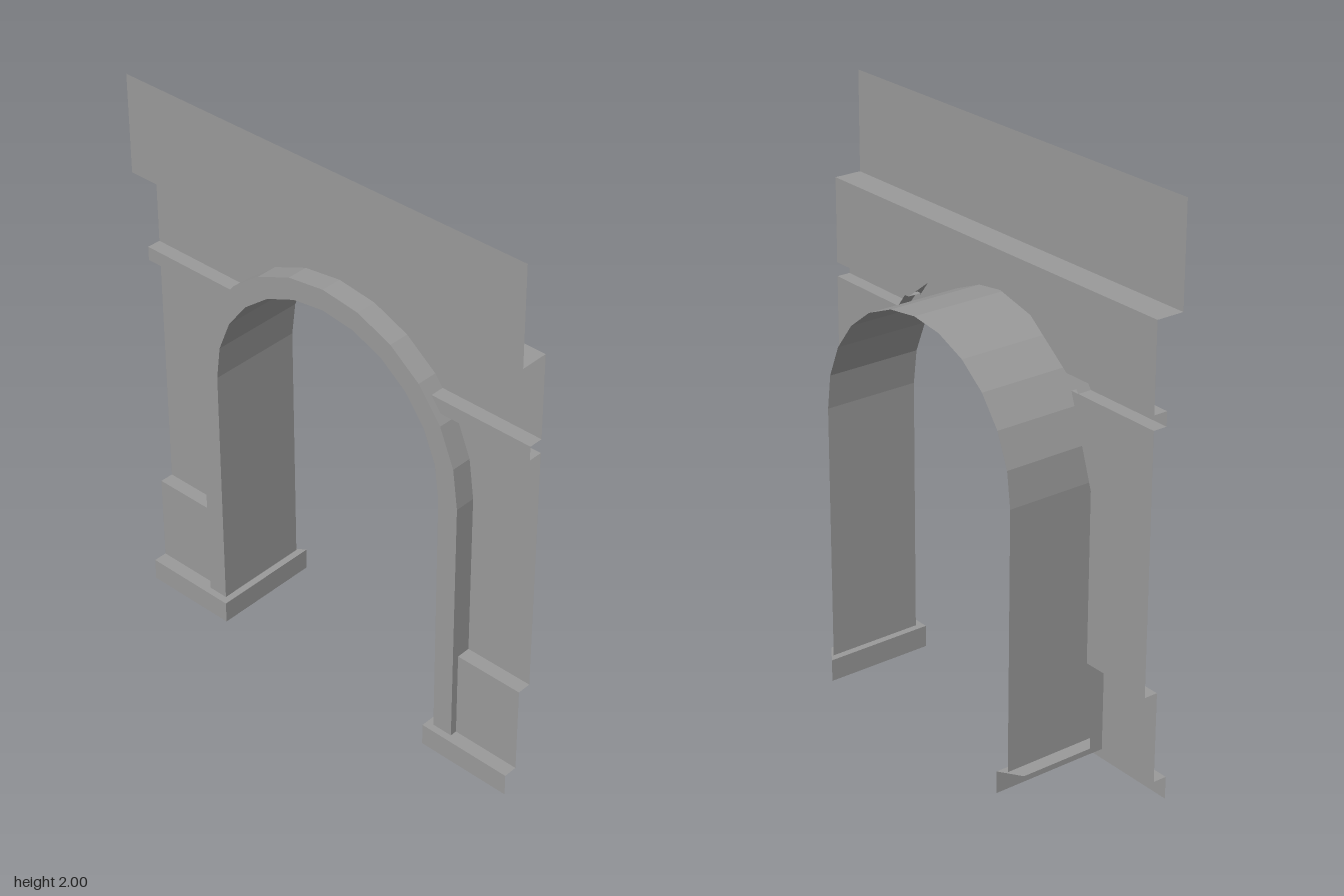
import * as THREE from 'three';

const material = new THREE.MeshStandardMaterial({ color: 0x999999, flatShading: true, side: THREE.DoubleSide });

// Open sheet stretched between two matching rows of [x, y, z] points
function loft(name, rowA, rowB) {
  const p = [];
  for (let i = 0; i < rowA.length - 1; i++) {
    p.push(...rowA[i], ...rowB[i], ...rowA[i + 1]);
    p.push(...rowB[i], ...rowB[i + 1], ...rowA[i + 1]);
  }
  const g = new THREE.BufferGeometry();
  g.setAttribute('position', new THREE.Float32BufferAttribute(p, 3));
  g.computeVertexNormals();
  const mesh = new THREE.Mesh(g, material);
  mesh.name = name;
  return mesh;
}

// Jamb, half circle of 12 segments, jamb
function archPath(r, x) {
  const pts = [[x, 0.08, r]];
  for (let i = 0; i <= 12; i++) {
    const a = (Math.PI * i) / 12;
    pts.push([x, 1 + r * Math.sin(a), r * Math.cos(a)]);
  }
  pts.push([x, 0.08, -r]);
  return pts;
}

export function createModel() {
  const model = new THREE.Group();
  model.name = 'archwayWall';
  const END = 0.8;

  // Projecting top panel with its soffit
  const top = [[-0.2, 2], [-0.2, 1.65], [-0.1, 1.65]];
  model.add(loft('topPanel',
    top.map(([x, y]) => [x, y, END]),
    top.map(([x, y]) => [x, y, -END])));

  // Wall above the arch, its lower edge following the faceted opening
  const edge = [[END, 1.35], [0.4, 1.35], [0.225, 1.483], [0, 1.538], [-0.225, 1.483], [-0.4, 1.35], [-END, 1.35]];
  model.add(loft('upperWall',
    edge.map(([z, y]) => [-0.1, y, z]),
    edge.map(([z]) => [-0.1, 1.65, z])));

  // Arch lining and raised surround
  const inner = 0.475, outer = 0.55, front = -0.175;
  model.add(loft('archLining', archPath(inner, 0.175), archPath(inner, front)));
  model.add(loft('surroundFace', archPath(inner, front), archPath(outer, front)));
  model.add(loft('surroundEdge', archPath(outer, front), archPath(outer, -0.1)));

  // Mirrored pier parts; profiles are [x, y, z of the edge at the opening]
  const profiles = {
    Cornice: [[-0.1, 1.35, 0.4], [-0.15, 1.35, 0.4], [-0.15, 1.3, 0.425], [-0.1, 1.3, 0.425]],
    PierWall: [[-0.1, 1.3, 0.425], [-0.1, 1, 0.525], [-0.1, 0.4, 0.525]],
    Plinth: [[-0.1, 0.4, 0.525], [-0.15, 0.4, 0.525], [-0.15, 0.08, 0.525]],
  };
  // Base skirting wraps the pier corner; paths are [x, z]
  const skirt = [[-0.2, END], [-0.2, 0.45], [0.2, 0.45]];
  const skirtBack = [[-0.15, END], [-0.15, 0.525], [0.15, 0.525]];

  for (const s of [1, -1]) {
    const side = s > 0 ? 'front' : 'back';
    const add = (name, a, b) => model.add(s > 0 ? loft(side + name, a, b) : loft(side + name, b, a));
    for (const [name, pts] of Object.entries(profiles)) {
      add(name, pts.map(([x, y]) => [x, y, s * END]), pts.map(([x, y, z]) => [x, y, s * z]));
    }
    const row = (path, y) => path.map(([x, z]) => [x, y, s * z]);
    add('BaseFace', row(skirt, 0), row(skirt, 0.08));
    add('BaseLedge', row(skirt, 0.08), row(skirtBack, 0.08));
  }
  return model;
}
